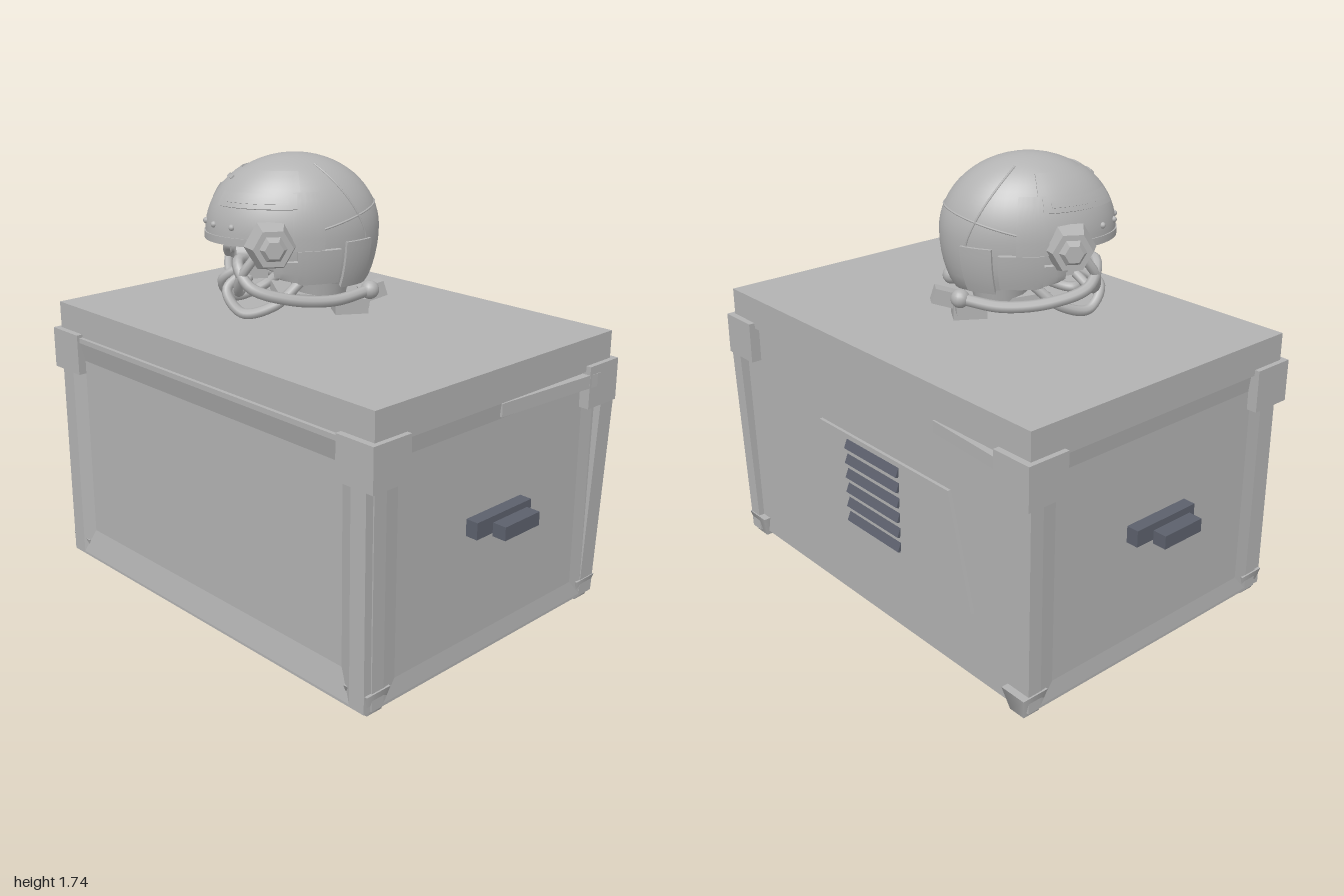
import * as THREE from 'three';
import { toCreasedNormals } from 'three/addons/utils/BufferGeometryUtils.js';

const mat = (name, color, side = THREE.FrontSide) => {
  const m = new THREE.MeshStandardMaterial({ color, side });
  m.name = name;
  return m;
};

export function createModel() {
  const grey = mat('casing grey', 0xb2b2b2);
  const dark = mat('handle slate', 0x5c606c);
  const model = new THREE.Group();
  const crate = new THREE.Group();
  crate.name = 'crate';
  const helmet = new THREE.Group();
  helmet.name = 'helmet';
  model.add(crate, helmet);

  const add = (parent, name, geo, material, x = 0, y = 0, z = 0) => {
    const m = new THREE.Mesh(geo, material);
    m.name = name;
    m.position.set(x, y, z);
    parent.add(m);
    return m;
  };
  // box given by its minimum and maximum corners
  const span = (parent, name, material, a, b) => add(parent, name,
    new THREE.BoxGeometry(b[0] - a[0], b[1] - a[1], b[2] - a[2]), material,
    (a[0] + b[0]) / 2, (a[1] + b[1]) / 2, (a[2] + b[2]) / 2);

  // ---- Crate ----
  span(crate, 'body', grey, [-0.85, 0.02, -0.617], [0.85, 1, 0.62]);
  span(crate, 'lid', grey, [-0.89, 0.98, -0.635], [0.89, 1.11, 0.635]);
  span(crate, 'base', grey, [-0.8, 0.01, -0.57], [0.8, 0.03, 0.57]);

  // panel lofted through rectangular rings [half width, bottom, top, depth]
  const panel = (rings) => {
    const loops = rings.map(([w, b, t, z]) => [[-w, b, z], [w, b, z], [w, t, z], [-w, t, z]]);
    const p = [];
    const quad = (a, b, c, d) => p.push(...a, ...b, ...c, ...a, ...c, ...d);
    for (let i = 0; i + 1 < loops.length; i++)
      for (let k = 0; k < 4; k++) {
        const n = (k + 1) % 4;
        quad(loops[i][k], loops[i][n], loops[i + 1][n], loops[i + 1][k]);
      }
    quad(...loops[loops.length - 1]);
    const g = new THREE.BufferGeometry();
    g.setAttribute('position', new THREE.Float32BufferAttribute(p, 3));
    g.computeVertexNormals();
    return g;
  };
  add(crate, 'frontPanel', panel([[0.87, 0.02, 0.99, 0.6], [0.87, 0.02, 0.99, 0.65],
    [0.8, 0.03, 0.97, 0.65], [0.74, 0.14, 0.89, 0.627]]), grey);
  for (const s of [1, -1])
    add(crate, 'sidePanel', panel([[0.617, 0.02, 0.99, 0.84], [0.617, 0.02, 0.99, 0.875],
      [0.56, 0.03, 0.97, 0.875], [0.5, 0.1, 0.91, 0.868]]), grey).rotation.y = s * Math.PI / 2;

  // corner clamps, corner feet and handles
  for (const sx of [1, -1]) {
    for (const sz of [1, -1]) {
      add(crate, 'cornerClamp', new THREE.BoxGeometry(0.17, 0.165, 0.175), grey, sx * 0.825, 0.92, sz * 0.5725);
      add(crate, 'cornerFoot', new THREE.CylinderGeometry(0.08, 0.05, 0.09, 4, 1).rotateY(Math.PI / 4),
        grey, sx * 0.825, 0.045, sz * 0.59);
    }
    add(crate, 'handleMount', new THREE.BoxGeometry(0.05, 0.065, 0.3), dark, sx * 0.895, 0.55, 0);
    add(crate, 'handleGrip', new THREE.BoxGeometry(0.056, 0.052, 0.19), dark, sx * 0.972, 0.55, 0);
  }

  // bent rear post leaning outward
  const post = new THREE.BoxGeometry(0.06, 0.96, 0.08);
  const pp = post.attributes.position;
  for (let i = 0; i < pp.count; i++) if (pp.getY(i) > 0) pp.setXYZ(i, pp.getX(i) + 0.035, pp.getY(i), pp.getZ(i) - 0.015);
  post.computeVertexNormals();
  add(crate, 'bentPost', post, grey, 0.845, 0.5, -0.6);

  // sprung seams under the lid: wedges in plan
  const wedge = (name, pts, y, h) => {
    const g = new THREE.ExtrudeGeometry(new THREE.Shape(pts.map(([x, z]) => new THREE.Vector2(x, -z))),
      { depth: h, bevelEnabled: false }).rotateX(-Math.PI / 2);
    add(crate, name, g, grey, 0, y, 0);
  };
  wedge('sprungRearSeam', [[-0.4, -0.61], [-0.4, -0.635], [-0.75, -0.66], [-0.81, -0.66], [-0.81, -0.61]], 0.93, 0.045);
  wedge('sprungSideSeam', [[0.86, -0.01], [0.88, -0.01], [0.912, -0.53], [0.912, -0.55], [0.86, -0.55]], 0.92, 0.05);

  // rear access plate with slanted vents
  const plate = new THREE.Shape([[-0.59, 0.29], [0.51, 0.29], [0.31, 0.73], [-0.47, 0.73]].map((p) => new THREE.Vector2(...p)));
  add(crate, 'rearPlate', new THREE.ExtrudeGeometry(plate, { depth: 0.013, bevelEnabled: false }), grey, 0, 0, -0.63);
  for (let i = 0; i < 6; i++)
    add(crate, 'ventSlat', new THREE.BoxGeometry(0.32, 0.038, 0.012), dark, -0.03, 0.38 + i * 0.062, -0.632).rotation.x = 0.4;

  // ---- Helmet: local front is +z, turned toward one corner ----
  helmet.position.set(-0.1, 1.11, 0.07);
  helmet.rotation.y = -0.58;

  // skull surface: a = angle from the front toward +x, e = elevation, s = scale
  const skullPoint = (a, e, s = 1) => {
    const c = Math.cos(e), py = Math.sin(e);
    const x = 0.24 * s * Math.sin(a) * c;
    let y = 0.345 + s * (py > 0 ? 0.285 : 0.4) * py;
    let z = 0.33 * s * Math.cos(a) * c;
    y = Math.max(y, 0.19 + 0.22 * z - (s - 1) * 0.3);
    if (y < 0.315 && z > 0.08) z = 0.08 + (z - 0.08) * 0.55;
    return new THREE.Vector3(x, y, z);
  };
  // solid curved plate following the skull between angles and scales
  const shell = (name, a0, a1, e0, e1, s0, s1, nu = 16, nv = 6) => {
    const g = new THREE.BoxGeometry(1, 1, 1, nu, nv, 1);
    const p = g.attributes.position;
    for (let i = 0; i < p.count; i++) {
      const v = skullPoint(a0 + (a1 - a0) * (p.getX(i) + 0.5), e0 + (e1 - e0) * (p.getY(i) + 0.5),
        s0 + (s1 - s0) * (p.getZ(i) + 0.5));
      p.setXYZ(i, v.x, v.y, v.z);
    }
    return add(helmet, name, toCreasedNormals(g, 0.6), grey);
  };
  const tube = (name, pts, r, n = 40) => add(helmet, name,
    new THREE.TubeGeometry(new THREE.CatmullRomCurve3(pts), n, r, 8), grey);

  const skull = new THREE.SphereGeometry(1, 48, 32);
  const sp = skull.attributes.position;
  for (let i = 0; i < sp.count; i++) {
    const v = skullPoint(Math.atan2(sp.getX(i), sp.getZ(i)), Math.asin(THREE.MathUtils.clamp(sp.getY(i), -1, 1)));
    sp.setXYZ(i, v.x, v.y, v.z);
  }
  add(helmet, 'skull', toCreasedNormals(skull, 0.6), grey);

  // brow shell, brow rim and crown slot
  shell('browShell', -1.55, 1.55, -0.05, 0.95, 0.97, 1.02, 32, 10);
  shell('browRim', -1.3, 1.3, -0.07, 0.0, 0.98, 1.035, 32, 2);
  shell('crownSlot', -0.15, 0.25, 0.75, 0.8, 1, 1.035, 8, 1);
  for (let i = -2; i <= 2; i++) {
    const b = add(helmet, 'browBolt', new THREE.SphereGeometry(0.012, 10, 8), grey);
    b.position.copy(skullPoint(i * 0.35, 0.13, 1.02));
  }
  // seams over the back
  const line = (f) => Array.from({ length: 13 }, (_, i) => f(i / 12));
  tube('rearSeam', line((t) => skullPoint(Math.PI - 1.4 + 2.8 * t, 0.1 + 0.25 * Math.sin(t * Math.PI))), 0.004);

  for (const s of [1, -1]) {
    const sh = (name, a0, a1, ...r) => (s > 0 ? shell(name, a0, a1, ...r) : shell(name, -a1, -a0, ...r));
    sh('sideRail', 0.4, 1.5, 0.38, 0.58, 1, 1.055);
    sh('railInset', 0.55, 1.4, 0.44, 0.52, 1.04, 1.065);
    sh('templePlate', 1.45, 1.8, -0.1, 0.6, 0.99, 1.045);
    sh('cheekPlate', 1.5, 2.0, -0.42, -0.1, 0.99, 1.06);
    sh('napePlate', 2.08, 2.5, -0.5, -0.05, 0.99, 1.035);
    sh('jawPlate', 1.15, 1.6, -0.5, -0.2, 0.99, 1.05);
    tube('sideSeam', line((t) => skullPoint(s * (2.0 + 0.45 * t), 1.1 - 1.2 * t)), 0.004);

    // hexagonal ear pod
    const ear = new THREE.Group();
    ear.name = 'earPod';
    ear.position.set(s * 0.255, 0.325, 0.12);
    ear.rotation.z = -s * Math.PI / 2;
    helmet.add(ear);
    for (const [name, top, bottom, h, y] of [['earBase', 0.075, 0.1, 0.07, 0], ['earCap', 0.035, 0.055, 0.03, 0.045]])
      add(ear, name, new THREE.CylinderGeometry(top, bottom, h, 6).toNonIndexed(), grey, 0, y, 0).geometry.computeVertexNormals();

    // eyepiece
    const eye = add(helmet, 'eyepiece', new THREE.CylinderGeometry(0.035, 0.042, 0.07, 16), grey, s * 0.085, 0.27, 0.2);
    eye.rotation.x = Math.PI / 2;

    // breathing hoses
    const hose = (name, pts, r) => tube(name, pts.map(([x, y, z]) => new THREE.Vector3(s * x, y, z)), r);
    hose('longHose', [[0.06, 0.25, 0.17], [0.15, 0.25, 0.235], [0.215, 0.17, 0.2], [0.23, 0.12, 0.06],
      [0.2, 0.1, -0.12], [0.14, 0.12, -0.27]], 0.022);
    hose('chinHose', [[0.04, 0.2, 0.17], [0.08, 0.13, 0.27], [0.13, 0.05, 0.22], [0.16, 0.08, 0.1], [0.14, 0.16, 0]], 0.02);
    hose('cheekHose', [[0.21, 0.29, 0.17], [0.19, 0.2, 0.23], [0.13, 0.13, 0.23], [0.05, 0.17, 0.18]], 0.018);
    add(helmet, 'hoseSocket', new THREE.SphereGeometry(0.036, 16, 12), grey, s * 0.14, 0.12, -0.27);
  }

  // mouthpiece, neck and rear connector
  add(helmet, 'mouthpiece', new THREE.BoxGeometry(0.13, 0.09, 0.1), grey, 0, 0.21, 0.16);
  add(helmet, 'neckPlate', new THREE.BoxGeometry(0.2, 0.035, 0.36), grey, 0, 0.075, -0.1).rotation.x = -0.12;
  add(helmet, 'neckCore', new THREE.CylinderGeometry(0.13, 0.1, 0.15, 16), grey, 0, 0.14, -0.1);
  add(helmet, 'neckFoot', new THREE.BoxGeometry(0.1, 0.06, 0.13), grey, 0, 0.03, -0.22);
  add(helmet, 'rearConnector', new THREE.BoxGeometry(0.06, 0.06, 0.1), grey, 0, 0.08, -0.31).rotation.x = 0.3;
  return model;
}
